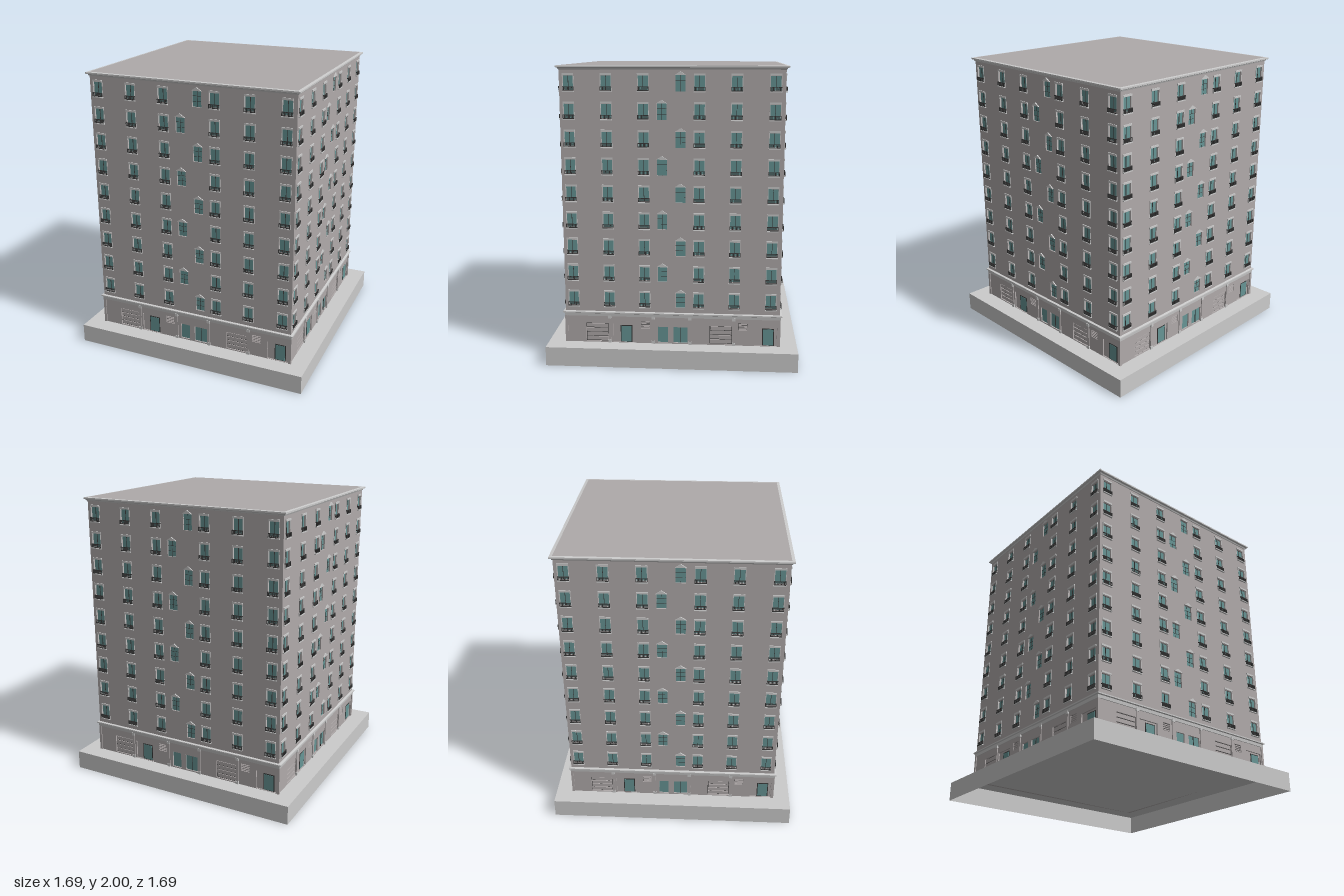
import * as THREE from 'three';
import { mergeGeometries } from 'three/addons/utils/BufferGeometryUtils.js';

const H = 0.725;          // half width of the tower
const BASE = 0.13;        // top of the plinth
const FLOOR = 0.181;      // storey height
const FLOORS = 9;
const COLUMNS = [-0.667, -0.423, -0.183, 0.18, 0.418, 0.662];

const material = (color, side = THREE.FrontSide) =>
  new THREE.MeshStandardMaterial({ color, side, flatShading: true });
const stone = material(0xcccccc, THREE.DoubleSide);
const wallPaint = material(0xb1abab);
const roofPaint = material(0xaeaaaa);
const glass = material(0x679595);
const iron = material(0x383838);

// Square moulding or box wall: a profile of [half width, height] turned in four steps
function squareLathe(name, profile, mat) {
  const points = profile.map(([r, y]) => new THREE.Vector2(r * Math.SQRT2, y));
  const mesh = new THREE.Mesh(new THREE.LatheGeometry(points, 4, Math.PI / 4), mat);
  mesh.name = name;
  return mesh;
}

// One facade, facing +z
function createFacade() {
  const facade = new THREE.Group();
  const parts = {};
  const add = (name, mat, geometry) => {
    (parts[name] ??= { mat, list: [] }).list.push(geometry.index ? geometry.toNonIndexed() : geometry);
  };
  // Box between x0..x1 and y0..y1, from z0 to z1 measured from the wall face
  const box = (name, mat, x0, x1, y0, y1, z0, z1) => {
    const g = new THREE.BoxGeometry(x1 - x0, y1 - y0, z1 - z0);
    add(name, mat, g.translate((x0 + x1) / 2, (y0 + y1) / 2, H + (z0 + z1) / 2));
  };

  const wall = new THREE.Shape();
  wall.moveTo(-H, BASE).lineTo(H, BASE).lineTo(H, 1.985).lineTo(-H, 1.985).closePath();
  const opening = (x0, x1, y0, y1) => {
    const hole = new THREE.Path();
    hole.moveTo(x0, y0).lineTo(x0, y1).lineTo(x1, y1).lineTo(x1, y0).closePath();
    wall.holes.push(hole);
  };
  const pane = (x0, x1, y0, y1, name = 'windowGlass', mat = glass) => {
    opening(x0, x1, y0, y1);
    box(name, mat, x0, x1, y0, y1, -0.02, -0.01);
  };

  // Upper storeys
  for (let f = 0; f < FLOORS; f++) {
    const y = 0.387 + f * FLOOR;
    for (const x of COLUMNS) {
      pane(x - 0.033, x + 0.033, y + 0.008, y + 0.1);
      box('windowMullion', iron, x - 0.0015, x + 0.0015, y + 0.008, y + 0.1, -0.01, -0.007);
      box('windowLintel', stone, x - 0.037, x + 0.037, y + 0.102, y + 0.115, -0.002, 0.006);
      for (const s of [-1, 1])
        box('windowJamb', stone, x + s * 0.035 - 0.002, x + s * 0.035 + 0.002, y, y + 0.102, -0.002, 0.003);
      // Balcony railing
      box('balconySill', stone, x - 0.038, x + 0.038, y - 0.004, y + 0.002, -0.002, 0.012);
      for (const r of [0.004, 0.027])
        box('balconyRailing', iron, x - 0.037, x + 0.037, y + r, y + r + 0.004, 0.007, 0.011);
      for (let i = 0; i <= 8; i++) {
        const bx = x - 0.035 + i * 0.00875;
        box('balconyRailing', iron, bx - 0.002, bx + 0.002, y + 0.004, y + 0.028, 0.007, 0.011);
      }
      for (const s of [-1, 1])
        box('balconyRailing', iron, x + s * 0.035 - 0.002, x + s * 0.035 + 0.002, y + 0.025, y + 0.031, 0, 0.011);
    }
    // Stair window with pediment, alternating sides
    const sx = f % 2 ? -0.063 : 0.058;
    pane(sx - 0.032, sx + 0.032, y, y + 0.105);
    for (const k of [1 / 3, 2 / 3])
      box('stairWindowBars', iron, sx - 0.032, sx + 0.032, y + 0.105 * k - 0.001, y + 0.105 * k + 0.001, -0.01, -0.008);
    box('stairWindowBars', iron, sx - 0.001, sx + 0.001, y, y + 0.105, -0.01, -0.008);
    const gable = new THREE.Shape();
    gable.moveTo(sx - 0.037, y + 0.105).lineTo(sx + 0.037, y + 0.105).lineTo(sx, y + 0.129).closePath();
    add('pediment', stone, new THREE.ExtrudeGeometry(gable, { depth: 0.008, bevelEnabled: false }).translate(0, 0, H));
  }

  // Ground floor: shutters
  for (const x of [-0.511, 0.332]) {
    pane(x - 0.076, x + 0.076, 0.137, 0.266, 'shutterBack', iron);
    for (let i = 0; i < 4; i++)
      box('shutterSlat', wallPaint, x - 0.072, x + 0.072, 0.143 + i * 0.031, 0.168 + i * 0.031, -0.011, -0.004);
  }
  // Entrance alcoves with doors
  for (const x of [-0.33, 0.632]) {
    pane(x - 0.073, x + 0.073, 0.132, 0.265, 'alcoveBack', wallPaint);
    box('doorFrame', iron, x - 0.022, x + 0.058, 0.132, 0.253, -0.011, -0.008);
    box('doorGlass', glass, x - 0.016, x + 0.052, 0.136, 0.247, -0.01, -0.006);
  }
  // Vents
  for (const x of [-0.181, 0.478]) {
    pane(x - 0.031, x + 0.031, 0.235, 0.287, 'ventBack', iron);
    for (let i = 0; i < 4; i++)
      box('ventSlat', wallPaint, x - 0.029, x + 0.029, 0.238 + i * 0.012, 0.245 + i * 0.012, -0.011, -0.002);
  }
  // Central single and double door
  pane(-0.095, -0.027, 0.138, 0.25, 'doorGlass');
  pane(0.011, 0.106, 0.138, 0.25, 'doorGlass');
  box('doorBars', iron, 0.057, 0.06, 0.138, 0.25, -0.01, -0.005);
  // Pilasters
  for (const x of [-0.425, -0.127, 0.122, 0.418]) {
    box('pilaster', wallPaint, x - 0.008, x + 0.008, BASE, 0.325, -0.002, 0.006);
    box('pilasterCapital', stone, x - 0.011, x + 0.011, 0.305, 0.325, -0.002, 0.01);
    box('pilasterFoot', stone, x - 0.011, x + 0.011, BASE, 0.15, -0.002, 0.009);
  }
  for (const s of [-1, 1])
    box('cornerPilaster', wallPaint, s * 0.722 - 0.009, s * 0.722 + 0.009, BASE, 0.325, -0.006, 0.006);

  add('wall', wallPaint, new THREE.ExtrudeGeometry(wall, { depth: 0.02, bevelEnabled: false }).translate(0, 0, H - 0.02));
  for (const [name, { mat, list }] of Object.entries(parts)) {
    const mesh = new THREE.Mesh(mergeGeometries(list), mat);
    mesh.name = name;
    facade.add(mesh);
  }
  return facade;
}

export function createModel() {
  const model = new THREE.Group();
  model.name = 'apartmentTower';

  // Hollow plinth, open underneath
  model.add(squareLathe('plinth', [[0.845, 0], [0.845, BASE], [0, BASE]], stone));

  // Four equal facades
  const facade = createFacade();
  ['front', 'left', 'back', 'right'].forEach((side, i) => {
    const copy = facade.clone();
    copy.name = side + 'Facade';
    copy.rotation.y = i * Math.PI / 2;
    model.add(copy);
  });

  // Band above the ground floor and roof cornice
  model.add(squareLathe('groundFloorCornice',
    [[0.72, 0.318], [0.731, 0.318], [0.733, 0.338], [0.741, 0.342], [0.741, 0.35], [0.72, 0.354]], stone));
  model.add(squareLathe('roofCornice',
    [[0.72, 1.972], [0.729, 1.974], [0.733, 1.983], [0.745, 1.988], [0.745, 1.998], [0.725, 2]], stone));
  model.add(squareLathe('roof', [[0.725, 1.985], [0.725, 2], [0, 2]], roofPaint));
  return model;
}
